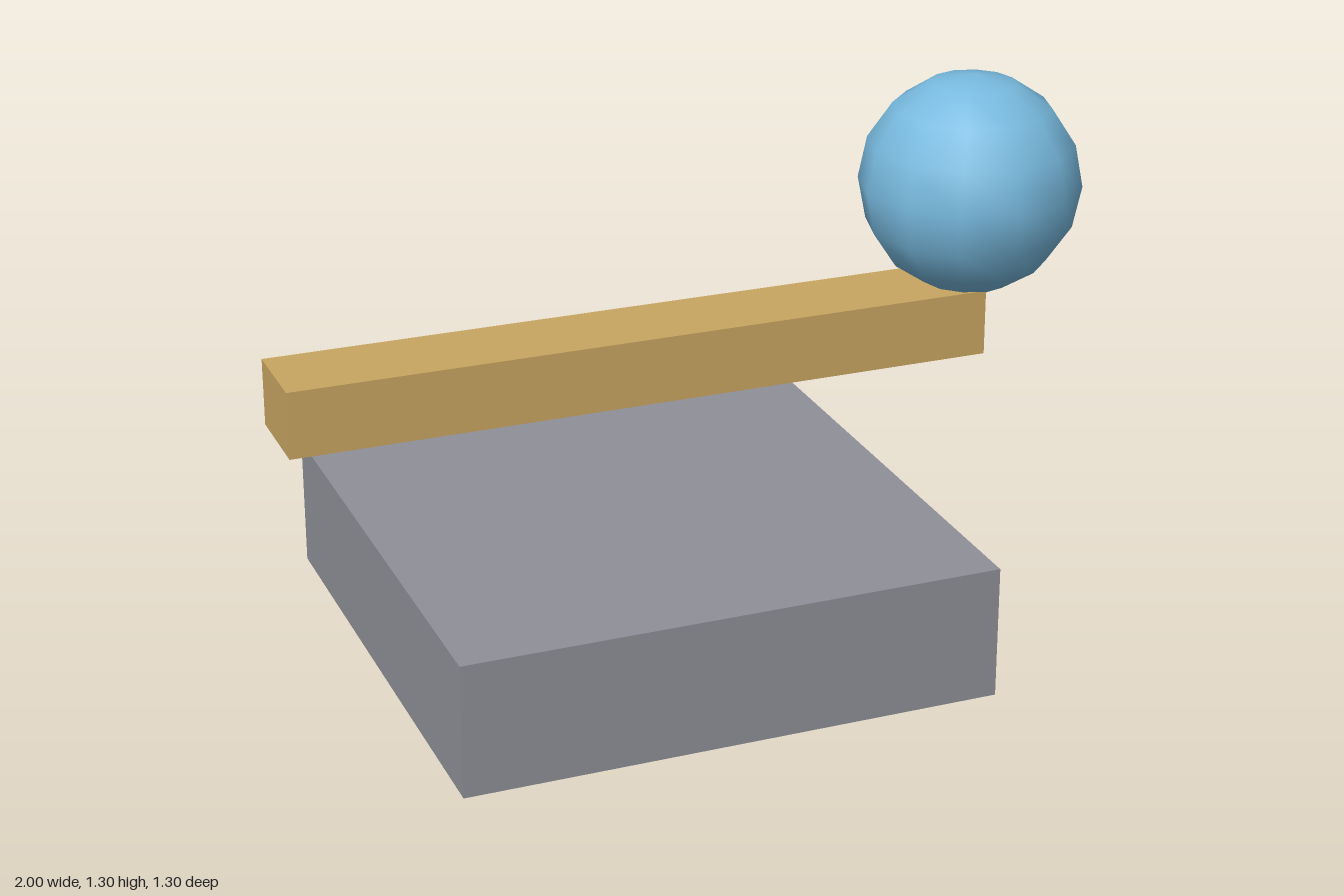
import * as THREE from 'three';

const material = (name, color) => {
  const m = new THREE.MeshStandardMaterial({ color });
  m.name = name;
  return m;
};

export function createModel() {
  const model = new THREE.Group();
  const grey = material('grey', 0x8f8f98);
  const ochre = material('ochre', 0xc9a661);
  const blue = material('blue', 0x78badf);

  const add = (name, geometry, mat, x, y) => {
    const mesh = new THREE.Mesh(geometry, mat);
    mesh.name = name;
    mesh.position.set(x, y, 0);
    model.add(mesh);
  };

  // square slab on the ground
  add('base', new THREE.BoxGeometry(1.297, 0.324, 1.297), grey, -0.135, 0.162);
  // long bar floating above the slab
  add('beam', new THREE.BoxGeometry(1.73, 0.162, 0.216), ochre, -0.135, 0.703);
  // ball sunk slightly into the left end of the bar
  add('ball', new THREE.SphereGeometry(0.27, 12, 8), blue, 0.73, 1.027);

  return model;
}
